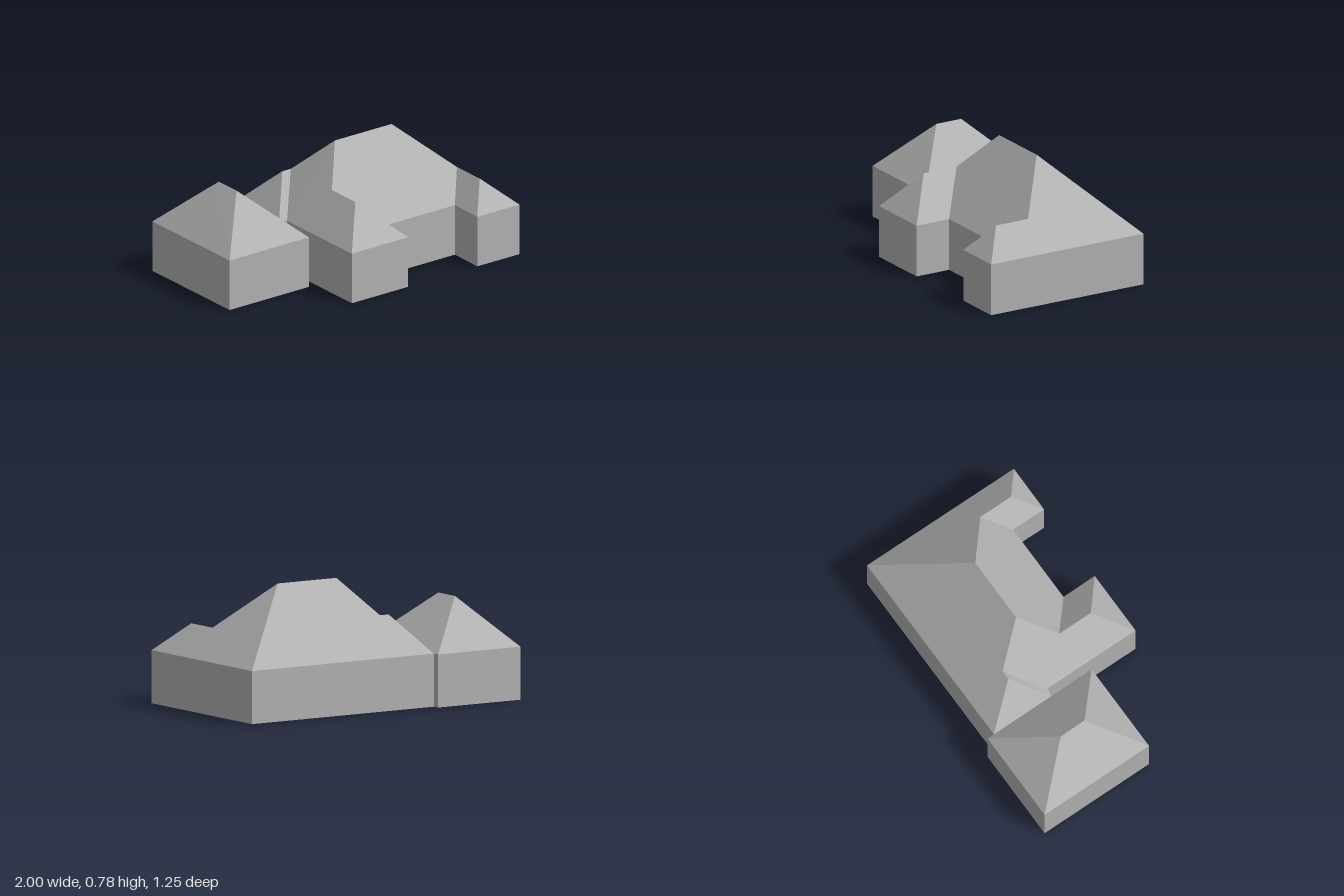
import * as THREE from 'three';

const EAVE = 0.33;

const grey = new THREE.MeshStandardMaterial({ color: 0xb3b3b3 });
grey.name = 'plain grey';

function makeMesh(name, positions) {
  const geometry = new THREE.BufferGeometry();
  geometry.setAttribute('position', new THREE.Float32BufferAttribute(positions, 3));
  geometry.computeVertexNormals();
  const mesh = new THREE.Mesh(geometry, grey);
  mesh.name = name;
  return mesh;
}

// Fills a polygon of [x, z, y] corners, facing up (dir 1) or down (dir -1)
function fillPolygon(corners, dir) {
  const flat = corners.map(([x, z]) => new THREE.Vector2(x, z));
  const out = [];
  for (const tri of THREE.ShapeUtils.triangulateShape(flat, [])) {
    const [a, b, c] = tri.map((i) => new THREE.Vector3(corners[i][0], corners[i][2] ?? EAVE, corners[i][1]));
    const up = b.clone().sub(a).cross(c.clone().sub(a)).y;
    for (const p of up * dir > 0 ? [a, b, c] : [a, c, b]) out.push(p.x, p.y, p.z);
  }
  return out;
}

// Upright walls around a footprint; the edge numbered partyEdge is left open
function walls(footprint, partyEdge) {
  const out = [];
  footprint.forEach(([x0, z0], i) => {
    if (i === partyEdge) return;
    const [x1, z1] = footprint[(i + 1) % footprint.length];
    out.push(x0, 0, z0, x0, EAVE, z0, x1, 0, z1);
    out.push(x1, 0, z1, x0, EAVE, z0, x1, EAVE, z1);
  });
  return out;
}

function building(name, footprint, partyEdge, roofFaces) {
  const group = new THREE.Group();
  group.name = name;
  group.add(makeMesh(name + 'Walls', walls(footprint, partyEdge)));
  group.add(makeMesh(name + 'Floor', fillPolygon(footprint.map(([x, z]) => [x, z, 0]), -1)));
  group.add(makeMesh(name + 'Roof', roofFaces.flatMap((face) => fillPolygon(face, 1))));
  return group;
}

export function createModel() {
  const model = new THREE.Group();
  model.name = 'house';

  // Side block: eave corners, party wall ends, then ridge ends
  const sBL = [-0.96, -0.628], sBR = [-0.35, -0.595], sFR = [-0.388, 0.188], sFL = [-1, 0.157];
  const partyBack = [-0.352, -0.548], partyFront = [-0.374, -0.115];
  const sRidgeB = [-0.703, -0.3, 0.63], sRidgeF = [-0.711, -0.12, 0.63];
  model.add(building('sideBlock', [sBL, sBR, partyBack, partyFront, sFR, sFL], 2, [
    [sBL, sBR, sRidgeB],
    [sBR, partyBack, partyFront, sFR, sRidgeF, sRidgeB],
    [sFR, sFL, sRidgeF],
    [sFL, sBL, sRidgeB, sRidgeF],
  ]));

  // Main house eave corners, clockwise from above
  const backRight = [1, -0.479], frontRight = [0.94, 0.622];
  const smallWingL = [0.615, 0.604], smallWingIn = [0.63, 0.372];
  const wingIn = [0.092, 0.345], wingR = [0.08, 0.58], wingL = [-0.355, 0.558];
  const linkCorner = [-0.32, -0.102];

  // Ridge points
  const topL = [0.037, -0.069, 0.78], topR = [0.473, -0.046, 0.78];
  const linkL = [-0.187, -0.305, 0.56], linkR = [-0.124, -0.3, 0.56];
  const wingRidgeB = [-0.148, 0.122, 0.56], wingRidgeF = [-0.16, 0.36, 0.56];
  const smallRidgeB = [0.77, 0.226, 0.5], smallRidgeF = [0.758, 0.458, 0.5];

  const footprint = [partyBack, backRight, frontRight, smallWingL, smallWingIn,
    wingIn, wingR, wingL, linkCorner, partyFront];
  model.add(building('mainHouse', footprint, 9, [
    [partyBack, linkL, linkR, topL, topR, backRight],                    // back slope
    [backRight, topR, smallRidgeB, smallRidgeF, frontRight],             // outer end slope
    [topL, topR, smallRidgeB, smallWingIn, wingIn, wingRidgeB],          // front slope
    [linkCorner, linkR, topL, wingRidgeB, wingRidgeF, wingL],            // inner end slope
    [partyFront, linkL, linkR, linkCorner],                              // link front slope
    [partyBack, linkL, partyFront],                                      // link hip
    [wingL, wingRidgeF, wingR],                                          // large wing hip
    [wingIn, wingRidgeB, wingRidgeF, wingR],                             // large wing slope
    [smallWingL, smallRidgeF, frontRight],                               // small wing hip
    [smallWingIn, smallRidgeB, smallRidgeF, smallWingL],                 // small wing slope
  ]));

  return model;
}
